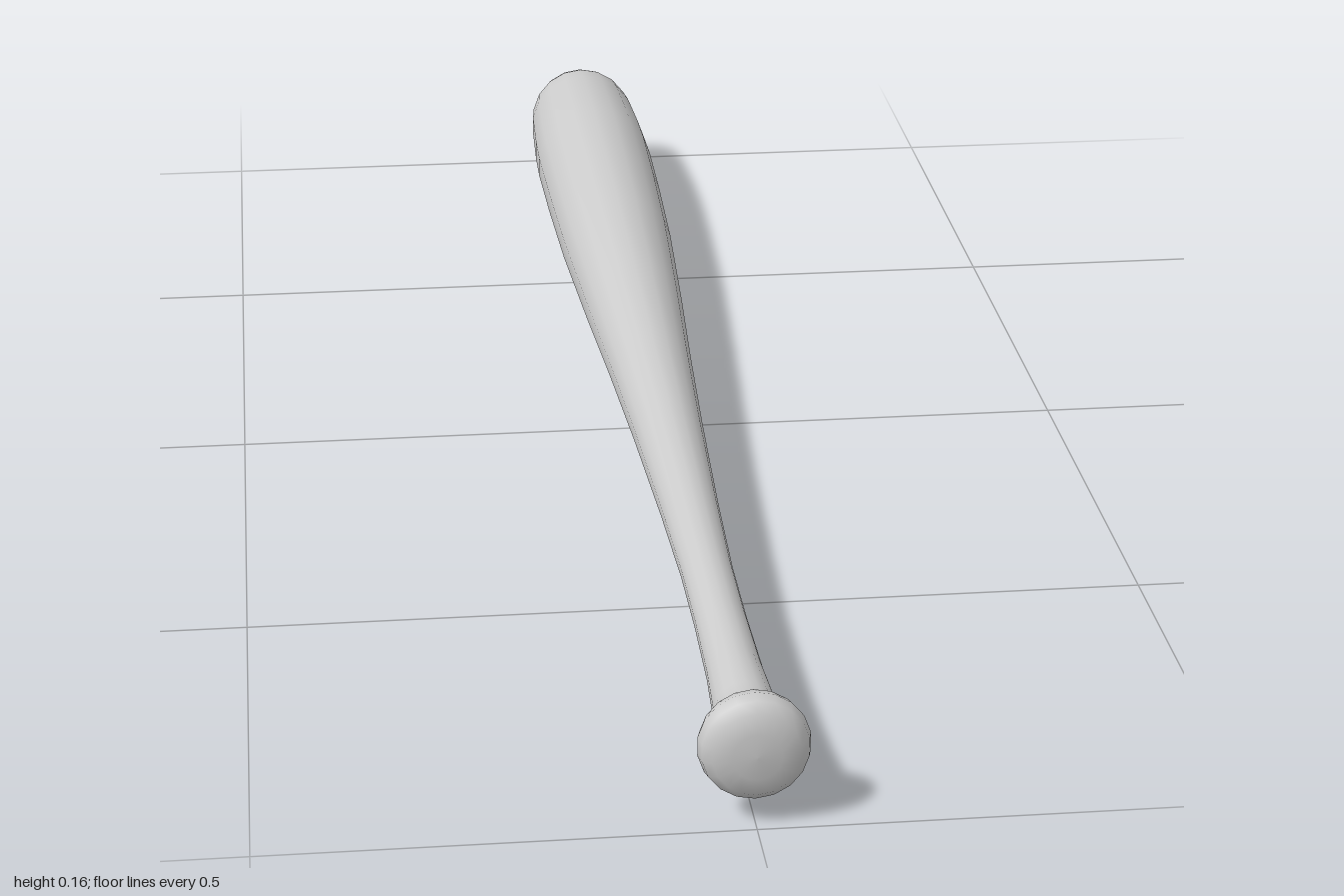
import * as THREE from 'three';

export function createModel() {
  const group = new THREE.Group();
  group.name = 'bat';

  // Profile as [radius, z], from the barrel end to the knob end
  const profile = [
    [0, -1], [0.03, -1], [0.054, -0.997], [0.065, -0.985], [0.071, -0.965], [0.075, -0.925],
    [0.079, -0.82], [0.08, -0.75], [0.0775, -0.6], [0.0725, -0.42], [0.062, -0.2],
    [0.051, 0], [0.0415, 0.2], [0.033, 0.42], [0.0285, 0.58], [0.028, 0.7],
    [0.0295, 0.82], [0.033, 0.9], [0.036, 0.935], [0.045, 0.945], [0.054, 0.957],
    [0.0575, 0.97], [0.0545, 0.983], [0.045, 0.993], [0.025, 0.999], [0, 1],
  ].map(([r, z]) => new THREE.Vector2(r, z));

  // One turned piece with 18 sides, laid along z
  const geometry = new THREE.LatheGeometry(profile, 18);
  geometry.rotateX(Math.PI / 2);
  const body = new THREE.Mesh(geometry, new THREE.MeshStandardMaterial({ color: 0xcccccc }));
  body.name = 'turnedBody';
  body.position.y = 0.08;
  group.add(body);
  return group;
}
